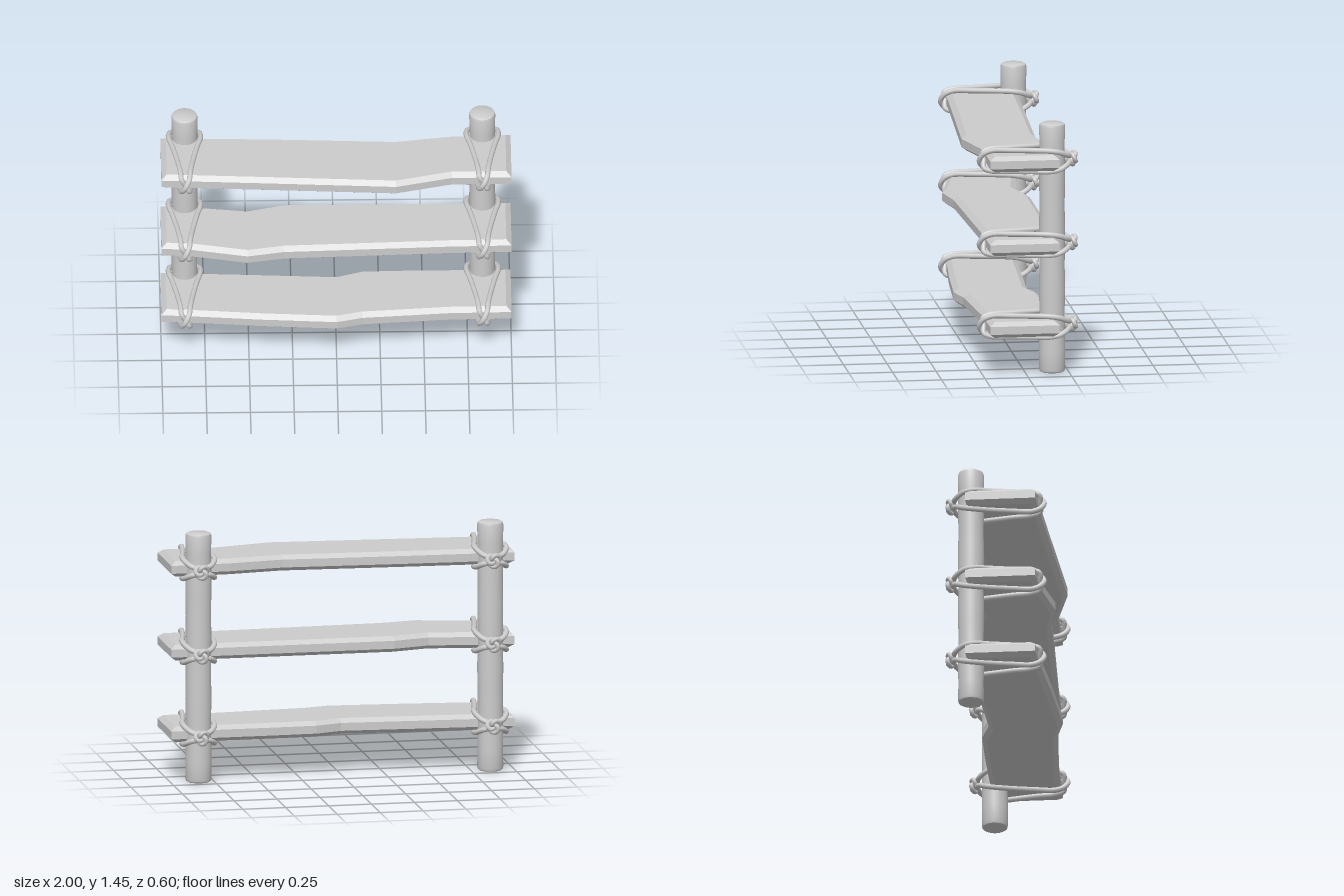
import * as THREE from 'three';
import { toCreasedNormals } from 'three/addons/utils/BufferGeometryUtils.js';

const material = new THREE.MeshStandardMaterial({ color: 0xcccccc });
const POST_Z = -0.157;
const POST_X = [-0.863, 0.838];

// Height and [x, z] edge points of each shelf board
const BOARDS = [
  { y: 0.277,
    front: [[-1, 0.22], [-0.85, 0.23], [-0.43, 0.27], [0, 0.3], [0.15, 0.262], [0.65, 0.225], [1, 0.22]],
    back: [[1, -0.18], [0.4, -0.18], [0.15, -0.175], [0, -0.125], [-0.43, -0.15], [-1, -0.18]] },
  { y: 0.754,
    front: [[-1, 0.22], [-0.82, 0.235], [-0.51, 0.3], [-0.3, 0.262], [0.65, 0.225], [1, 0.22]],
    back: [[1, -0.18], [-0.3, -0.18], [-0.51, -0.125], [-0.8, -0.165], [-1, -0.18]] },
  { y: 1.242,
    front: [[-1, 0.22], [-0.4, 0.255], [0.34, 0.3], [0.66, 0.22], [1, 0.22]],
    back: [[1, -0.18], [0.66, -0.17], [0.34, -0.125], [-0.39, -0.16], [-1, -0.18]] },
];

function addMesh(parent, geometry, name) {
  const mesh = new THREE.Mesh(geometry, material);
  mesh.name = name;
  parent.add(mesh);
  return mesh;
}

// Round log with eased ends and a slightly uneven side
function postGeometry(seed) {
  const H = 1.45, R = 0.075;
  const points = [[0, 0], [R - 0.014, 0], [R - 0.004, 0.006], [R, 0.02]];
  for (let i = 1; i < 12; i++) points.push([R - 0.0015 * (1 + Math.sin(i * 2.3 + seed)), (H * i) / 12]);
  points.push([R, H - 0.02], [R - 0.004, H - 0.006], [R - 0.014, H], [0, H]);
  const lathe = new THREE.LatheGeometry(points.map(([r, y]) => new THREE.Vector2(r, y)), 28);
  return toCreasedNormals(lathe, 0.6);
}

// Bent plank with chamfers all round
function boardGeometry({ front, back }) {
  const shape = new THREE.Shape([...front, ...back].map(([x, z]) => new THREE.Vector2(x, z)));
  const core = 0.046, bevel = 0.023;
  const geometry = new THREE.ExtrudeGeometry(shape, {
    depth: core, bevelThickness: bevel, bevelSize: 0.03, bevelOffset: -0.03, bevelSegments: 1,
  });
  geometry.translate(0, 0, -core / 2);
  return geometry.rotateX(Math.PI / 2);
}

// One rope loop: round the post, over the board, diagonally down its front and back underneath
function ropeGeometry(s) {
  const half = [
    [0.055, 0.026, -0.24], [0.087, 0.05, -0.19], [0.09, 0.06, -0.13], [0.073, 0.061, -0.06],
    [0.045, 0.061, 0.08], [0.028, 0.06, 0.19], [0.022, 0.042, 0.238],
  ];
  const points = [
    [0, 0.008, -0.262], ...half, [0, 0, 0.25 + 0.012 * s],
    ...half.map(([x, y, z]) => [-x, -y, z]).reverse(), [0, -0.008, -0.262],
  ].map(([x, y, z]) => new THREE.Vector3(s * x, y, z));
  const curve = new THREE.CatmullRomCurve3(points, true, 'centripetal');
  return new THREE.TubeGeometry(curve, 120, 0.0155, 8, true);
}

function makeLashing() {
  const lashing = new THREE.Group();
  lashing.name = 'lashing';
  for (const s of [-1, 1]) addMesh(lashing, ropeGeometry(s), 'ropeLoop');
  // Knot behind the post
  const knot = addMesh(lashing, new THREE.TorusKnotGeometry(0.025, 0.0135, 72, 8, 2, 3), 'knot');
  knot.position.set(0.005, 0, -0.277);
  knot.rotation.z = 0.4;
  return lashing;
}

export function createModel() {
  const model = new THREE.Group();
  model.name = 'shelf';

  POST_X.forEach((x, i) => {
    const post = addMesh(model, postGeometry(i * 1.7), i ? 'leftPost' : 'rightPost');
    post.position.set(x, 0, POST_Z);
  });

  for (const board of BOARDS) {
    addMesh(model, boardGeometry(board), 'board').position.y = board.y;
    for (const x of POST_X) {
      const lashing = makeLashing();
      lashing.position.set(x, board.y, 0);
      model.add(lashing);
    }
  }
  return model;
}
